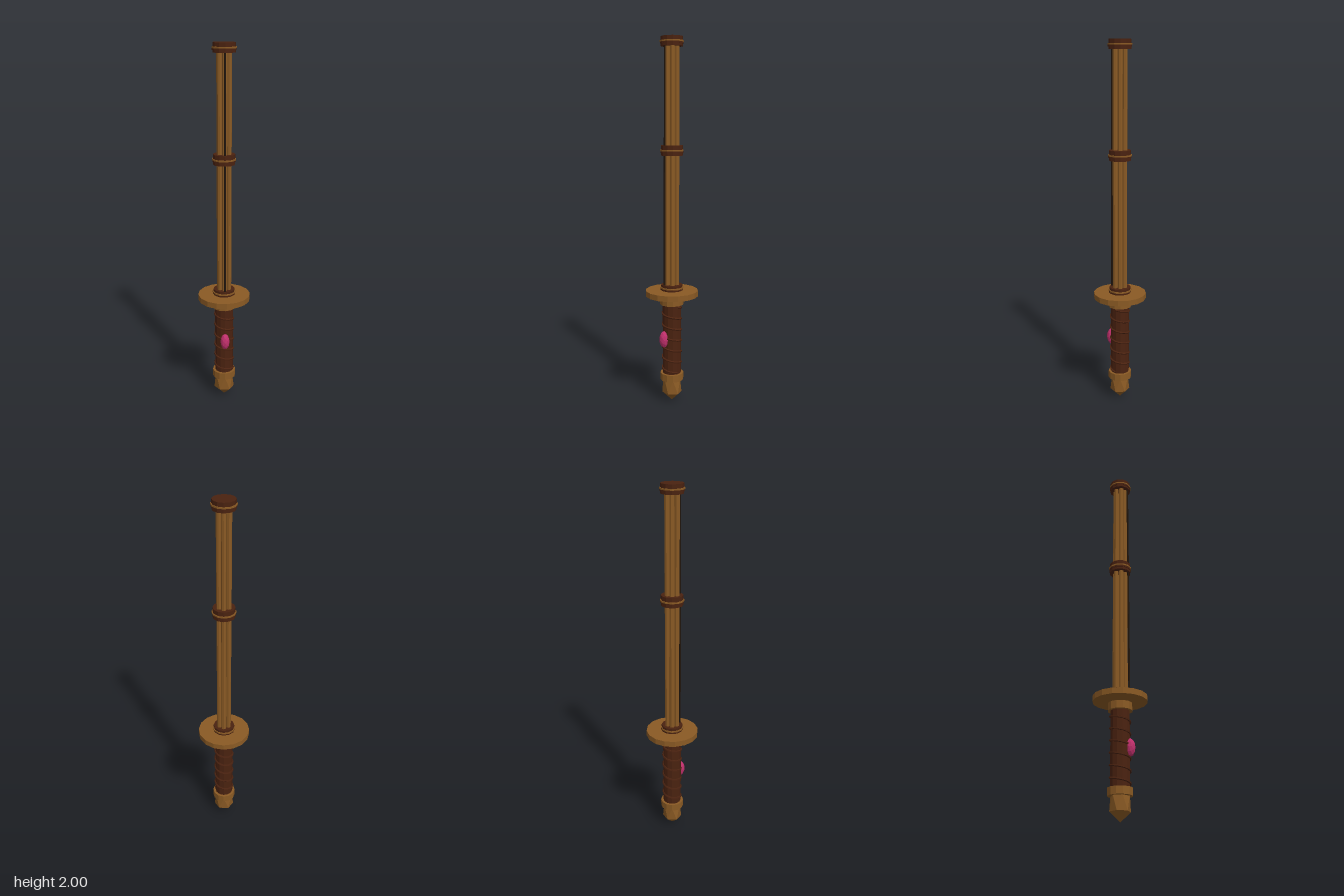
import * as THREE from 'three';
import { ConvexGeometry } from 'three/addons/geometries/ConvexGeometry.js';

const material = (name, color) => {
  const m = new THREE.MeshStandardMaterial({ color, flatShading: true });
  m.name = name;
  return m;
};

export function createModel() {
  const bamboo = material('bamboo', 0x8a5a24);
  const leather = material('dark leather', 0x4a2210);
  const cordColor = material('dark cord', 0x20150c);
  const pink = material('pink gem', 0xc0306c);

  const model = new THREE.Group();
  model.name = 'bambooSword';
  const add = (name, geometry, mat, x = 0, y = 0, z = 0, parent = model) => {
    const mesh = new THREE.Mesh(geometry, mat);
    mesh.name = name;
    mesh.position.set(x, y, z);
    parent.add(mesh);
    return mesh;
  };
  // Upright prism between two heights
  const prism = (name, r, y0, y1, sides, mat, parent = model) =>
    add(name, new THREE.CylinderGeometry(r, r, y1 - y0, sides), mat, 0, (y0 + y1) / 2, 0, parent);

  // Faceted pommel: two twisted hexagonal rings over a point
  const points = [new THREE.Vector3(0, 0, 0)];
  for (let i = 0; i < 6; i++) {
    const a = (i * Math.PI) / 3;
    const b = a + Math.PI / 6;
    points.push(new THREE.Vector3(0.057 * Math.cos(a), 0.05, 0.054 * Math.sin(a)));
    points.push(new THREE.Vector3(0.052 * Math.cos(b), 0.13, 0.05 * Math.sin(b)));
  }
  add('pommel', new ConvexGeometry(points), bamboo);
  prism('pommelCollar', 0.065, 0.125, 0.165, 12, bamboo);

  // Handle with a spiral wrap
  prism('grip', 0.051, 0.16, 0.565, 12, leather);
  const spiral = [];
  const turns = 6;
  for (let i = 0; i <= turns * 12; i++) {
    const t = (i / 12) * Math.PI * 2;
    spiral.push(new THREE.Vector3(0.052 * Math.cos(t), 0.172 + (0.378 * i) / (turns * 12), 0.052 * Math.sin(t)));
  }
  add('gripWrap', new THREE.TubeGeometry(new THREE.CatmullRomCurve3(spiral), turns * 16, 0.006, 5), leather);
  prism('gripCollar', 0.065, 0.56, 0.601, 12, bamboo);

  // Gem on the front of the handle
  const gem = add('gem', new THREE.IcosahedronGeometry(1, 1), pink, 0, 0.365, 0.053);
  gem.scale.set(0.026, 0.048, 0.027);

  // Round guard
  prism('guard', 0.145, 0.609, 0.64, 16, bamboo);

  // Blade of six bamboo slats
  const blade = new THREE.Group();
  blade.name = 'blade';
  model.add(blade);
  for (let i = 0; i < 6; i++) {
    const a = (i * Math.PI) / 3;
    add('slat', new THREE.CylinderGeometry(0.0135, 0.0135, 1.34, 8), bamboo,
      0.029 * Math.sin(a), 1.31, 0.029 * Math.cos(a), blade);
  }

  // Cord along the front of the blade
  const cordPath = new THREE.LineCurve3(new THREE.Vector3(0, 0.66, 0.05), new THREE.Vector3(0, 1.97, 0.045));
  add('cord', new THREE.TubeGeometry(cordPath, 1, 0.005, 6), cordColor);

  // Leather bindings, each with a thin raised band
  for (const [name, y0, y1] of [['lowerBinding', 0.638, 0.672], ['middleBinding', 1.38, 1.435], ['tipCap', 1.95, 2]]) {
    const binding = new THREE.Group();
    binding.name = name;
    model.add(binding);
    const mid = (y0 + y1) / 2;
    prism('sleeve', 0.059, y0, y1, 12, leather, binding);
    prism('band', 0.064, mid - 0.004, mid + 0.004, 12, bamboo, binding);
    prism('lowerRim', 0.062, mid - 0.013, mid - 0.004, 12, leather, binding);
  }
  return model;
}
